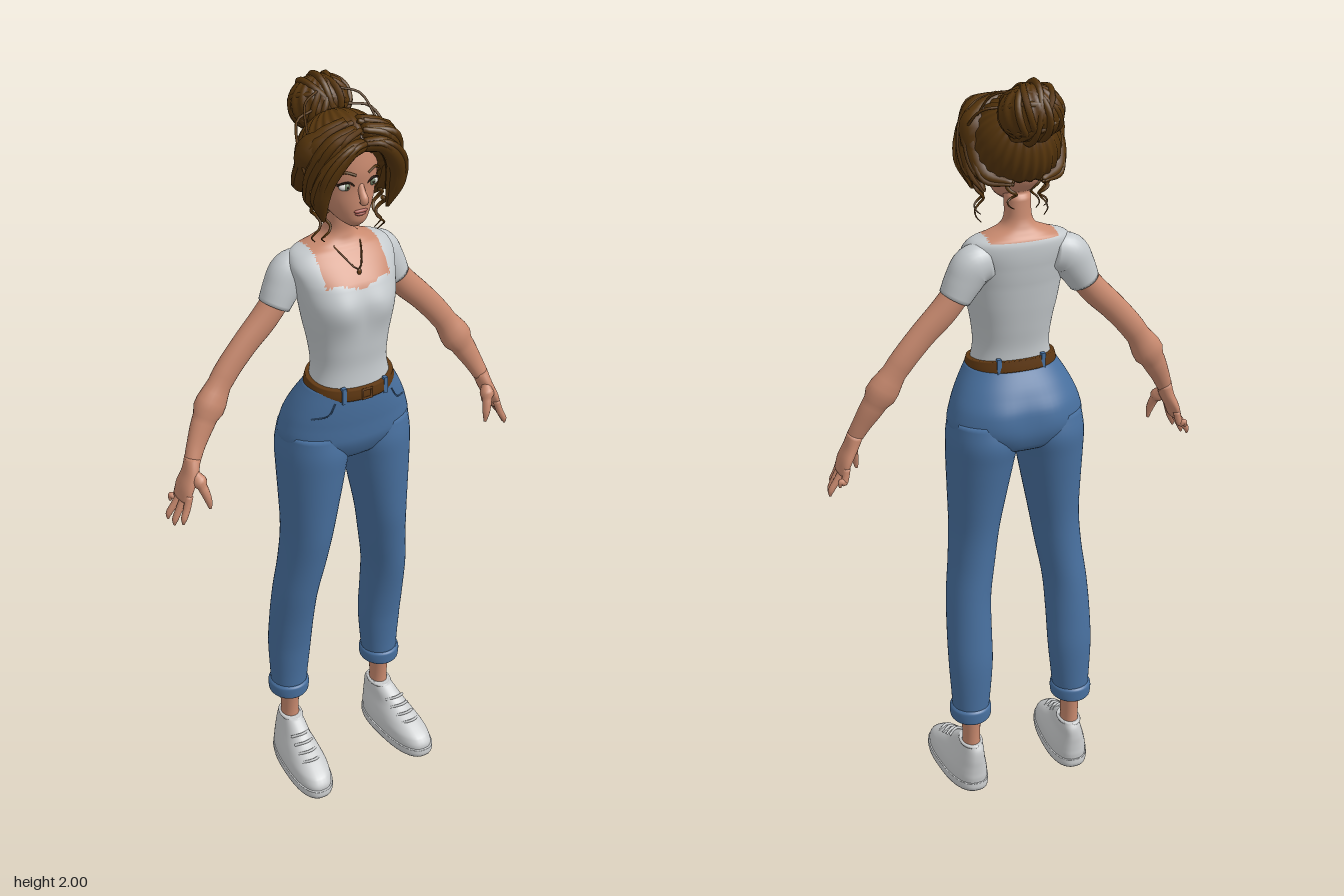
import * as THREE from 'three';

const paint = (name, color) => Object.assign(new THREE.MeshStandardMaterial({ color }), { name });
const V = (x, y, z) => new THREE.Vector3(x, y, z);

export function createModel() {
  const model = new THREE.Group();
  const skin = paint('skin', 0xc98a6f), shirt = paint('shirt', 0xc4c9cc), denim = paint('denim', 0x48709f);
  const hair = paint('hair', 0x55340b), leather = paint('leather', 0x5f3812), shoe = paint('shoe', 0xcbcdce);
  const white = paint('eyeWhite', 0xe4e2de), iris = paint('iris', 0x6f8064), dark = paint('lash', 0x24160e);
  const lip = paint('lip', 0xa85a50);

  function add(name, geo, mat, parent = model) {
    const mesh = new THREE.Mesh(geo, mat);
    mesh.name = name;
    parent.add(mesh);
    return mesh;
  }
  function group(name) {
    const g = new THREE.Group();
    g.name = name;
    model.add(g);
    return g;
  }
  // Skin a list of equal point loops, closed at both ends; pick() sorts faces into material slots
  function skinLoops(loops, pick = () => 0) {
    const n = loops[0].length, pts = loops.flat(), slots = [[], []];
    const face = (...f) => {
      const c = V(0, 0, 0);
      f.forEach(i => c.addScaledVector(pts[i], 1 / 3));
      slots[pick(c)].push(...f);
    };
    const ends = [loops[0], loops[loops.length - 1]].map(l => {
      const c = V(0, 0, 0);
      l.forEach(p => c.addScaledVector(p, 1 / n));
      return pts.push(c) - 1;
    });
    const last = (loops.length - 1) * n;
    for (let j = 0; j < n; j++) {
      const k = (j + 1) % n;
      for (let i = 0; i < last; i += n) {
        face(i + j, i + n + j, i + k);
        face(i + k, i + n + j, i + n + k);
      }
      face(ends[0], j, k);
      face(ends[1], last + k, last + j);
    }
    const geo = new THREE.BufferGeometry().setFromPoints(pts);
    geo.setIndex(slots.flat());
    geo.addGroup(0, slots[0].length, 0);
    geo.addGroup(slots[0].length, slots[1].length, 1);
    geo.computeVertexNormals();
    return geo;
  }
  // Horizontal rounded sections, rising: [y, x0, x1, back z, front z]
  function stack(rows, { power = 2, n = 40, steps = 5, warp, pick, s = 1 } = {}) {
    const a = new THREE.CatmullRomCurve3(rows.map(r => V(r[0], r[1], r[2])));
    const b = new THREE.CatmullRomCurve3(rows.map(r => V(r[3], r[4], 0)));
    const round = c => Math.sign(c) * Math.abs(c) ** (2 / power);
    const loops = [], count = (rows.length - 1) * steps;
    for (let i = 0; i <= count; i++) {
      const p = a.getPoint(i / count), q = b.getPoint(i / count), loop = [];
      for (let j = 0; j < n; j++) {
        const t = j / n * Math.PI * 2;
        const v = V(s * (p.y + p.z) / 2 + (p.z - p.y) / 2 * round(Math.cos(t)), p.x,
          (q.x + q.y) / 2 + (q.y - q.x) / 2 * round(Math.sin(t)));
        if (warp) warp(v);
        loop.push(v);
      }
      loops.push(loop);
    }
    return skinLoops(loops, pick);
  }
  // Tapered limb along a curve: [x, y, z, radius, radius along z]
  function limb(rows, { n = 14, steps = 5, s = 1, round = false } = {}) {
    const path = new THREE.CatmullRomCurve3(rows.map(r => V(r[0] * s, r[1], r[2])));
    const size = new THREE.CatmullRomCurve3(rows.map(r => V(r[3], r[4] ?? r[3], 0)));
    const count = (rows.length - 1) * steps, frames = path.computeFrenetFrames(count), loops = [];
    for (let i = 0; i <= count; i++) {
      const t = path.getTangent(i / count), c = path.getPoint(i / count), r = size.getPoint(i / count);
      let side = V(0, 0, 1);
      if (round) side = frames.normals[i].clone();
      side.addScaledVector(t, -side.dot(t)).normalize();
      const up = t.clone().cross(side);
      loops.push(Array.from({ length: n }, (_, j) => {
        const w = j / n * Math.PI * 2;
        return c.clone().addScaledVector(up, r.x * Math.cos(w)).addScaledVector(side, r.y * Math.sin(w));
      }));
    }
    return skinLoops(loops);
  }
  const wire = (pts, r) => new THREE.TubeGeometry(new THREE.CatmullRomCurve3(pts.map(p => V(...p))), 16, r, 6);
  const both = rows => rows.map(([y, w, b, f]) => [y, -w, w, b, f]);
  function ball(name, mat, pos, size, parent) {
    const m = add(name, new THREE.SphereGeometry(1, 24, 16), mat, parent);
    m.position.set(...pos);
    m.scale.set(...size);
    return m;
  }

  // Torso and neck, with a square neckline
  const bell = (v, x, y, w) => Math.exp(-((Math.abs(v.x) - x) ** 2 + (v.y - y) ** 2) / (w * w));
  add('torso', stack(both([[1.235, .112, -.05, .112], [1.3, .1, -.05, .105], [1.36, .105, -.06, .108],
    [1.42, .117, -.07, .11], [1.48, .127, -.078, .11], [1.53, .135, -.085, .095], [1.57, .142, -.088, .064],
    [1.595, .13, -.085, .04], [1.612, .085, -.075, .025], [1.63, .045, -.065, .017], [1.65, .034, -.058, .014],
    [1.7, .033, -.053, .018], [1.73, .033, -.053, .018]]), {
    power: 2.2, n: 96, steps: 6,
    warp: v => { if (v.z > 0) v.z += .014 * bell(v, .06, 1.465, .05); },
    pick: c => +(c.y > 1.62 || (Math.abs(c.x) < .09 && c.y > (c.z > -.03 ? 1.53 - .006 * Math.cos(c.x * 50) : 1.6))),
  }), [shirt, skin]);
  add('necklace', wire([[-.045, 1.628, -.01], [-.03, 1.6, .038], [0, 1.565, .078], [.03, 1.6, .038], [.045, 1.628, -.01]], .0022), leather);
  ball('pendant', leather, [0, 1.56, .08], [.006, .008, .004]);

  // Jeans: hips, belt, legs and rolled cuffs
  add('hips', stack(both([[1.02, .06, -.05, .05], [1.05, .14, -.1, .09], [1.1, .181, -.112, .112],
    [1.15, .172, -.108, .115], [1.2, .15, -.088, .118], [1.255, .117, -.055, .117]]), {
    power: 2.2, n: 56,
    warp: v => { if (v.z < 0) v.z -= .01 * bell(v, .075, 1.12, .06); },
  }), denim);
  const tilt = v => { v.y -= (v.z - .03) * .12; };
  add('belt', stack(both([[1.237, .121, -.06, .12], [1.25, .12, -.059, .121], [1.268, .115, -.057, .12]]),
    { power: 2.2, n: 56, warp: tilt }), leather);
  const buckle = add('buckle', new THREE.TorusGeometry(.018, .004, 6, 4, Math.PI * 2).rotateZ(Math.PI / 4), leather);
  buckle.position.set(0, 1.242, .122);
  for (const [x, z] of [[-.06, .108], [.06, .108], [-.06, -.045], [.06, -.045]]) {
    const loop = add('beltLoop', new THREE.BoxGeometry(.011, .044, .012), denim);
    loop.position.set(x, 1.253 - (z - .03) * .12, z);
  }
  for (const s of [1, -1]) {
    add('trouserLeg', stack([[.235, .102, .199, -.1, .003], [.3, .095, .202, -.102, .005], [.4, .086, .207, -.104, .014],
      [.5, .084, .206, -.096, .032], [.6, .08, .2, -.087, .054], [.7, .064, .188, -.08, .073], [.8, .048, .181, -.08, .09],
      [.9, .028, .183, -.09, .098], [1, .008, .186, -.104, .105], [1.06, -.002, .186, -.112, .108], [1.12, .01, .178, -.1, .1]], { s }), denim);
    add('cuff', stack([[.228, .1, .202, -.103, .006], [.234, .095, .206, -.107, .01], [.262, .094, .207, -.107, .011],
      [.27, .1, .201, -.101, .006]], { s }), denim);
    add('pocketSeam', wire([[.082 * s, 1.225, .104], [.1 * s, 1.195, .102], [.135 * s, 1.18, .075]], .002), denim);

    // Ankle and sneaker
    add('ankle', stack([[.1, .122, .177, -.08, -.012], [.16, .125, .173, -.077, -.018], [.26, .12, .178, -.082, -.01]], { s }), skin);
    const sneaker = group('sneaker');
    const splay = v => { v.x += s * (v.z + .02) * .07; };
    add('shoeUpper', stack([[.015, .1, .21, -.098, .183], [.035, .1, .21, -.1, .182], [.055, .102, .207, -.1, .168],
      [.075, .108, .2, -.1, .13], [.1, .117, .19, -.1, .072], [.125, .121, .181, -.096, .03], [.142, .126, .175, -.086, .0]],
    { power: 2.5, s, warp: splay }), shoe, sneaker);
    add('sole', stack([[0, .098, .212, -.1, .185], [.012, .096, .214, -.103, .189], [.026, .097, .213, -.102, .188]],
      { power: 2.5, s, warp: splay }), shoe, sneaker);
    add('shoeCollar', new THREE.TorusGeometry(1, .16, 8, 28).rotateX(Math.PI / 2).scale(.028, .03, .04), shoe, sneaker)
      .position.set(s * .149, .138, -.043);
    for (const [y, z] of [[.084, .118], [.095, .092], [.107, .066], [.12, .043]]) {
      const x = s * (.156 + z * .07);
      add('lace', wire([[x - .028, y - .008, z - .014], [x, y + .002, z], [x + .028, y - .008, z - .014]], .004), shoe, sneaker);
    }

    // Sleeve, arm and hand
    add('sleeve', limb([[.085, 1.55, -.042, .046, .036], [.125, 1.54, -.042, .054, .045], [.15, 1.505, -.04, .049, .044],
      [.173, 1.463, -.038, .041, .041]], { s, n: 28 }), shirt);
    add('arm', limb([[.14, 1.51, -.038, .034], [.2, 1.435, -.038, .036, .032], [.26, 1.375, -.037, .034, .028],
      [.32, 1.305, -.035, .033, .027], [.38, 1.212, -.024, .033, .027], [.415, 1.15, -.01, .025, .021],
      [.432, 1.115, 0, .021, .02]], { s, n: 24 }), skin);
    const hand = group('hand');
    add('palm', limb([[.43, 1.122, -.002, .021, .021], [.443, 1.085, .005, .018, .032], [.46, 1.05, .007, .016, .039],
      [.47, 1.02, .008, .013, .038]], { s, n: 20 }), skin, hand);
    [[-.022, -.032, .995, .485], [-.002, -.006, .962, .505], [.018, .02, .956, .5], [.037, .046, .968, .487]].forEach(([z0, z1, y, x]) => {
      add('finger', limb([[.462, 1.04, z0, .01], [.47 + (x - .48) * .5, 1.005, (z0 + z1) / 2, .0095],
        [x - .003, y + .015, z1, .008], [x, y, z1, .003]], { s, n: 10 }), skin, hand);
    });
    add('thumb', limb([[.438, 1.09, .02, .013], [.428, 1.06, .042, .013], [.419, 1.025, .054, .01], [.415, .998, .056, .004]],
      { s, n: 10 }), skin, hand);
  }

  // Head and face
  const head = group('head');
  add('face', stack(both([[1.675, .014, .035, .068], [1.69, .034, .0, .082], [1.71, .05, -.04, .086], [1.74, .066, -.07, .087],
    [1.78, .076, -.085, .087], [1.82, .08, -.09, .091], [1.87, .074, -.085, .086], [1.91, .05, -.05, .06], [1.925, .01, -.01, .02]])), skin, head);
  add('nose', limb([[0, 1.795, .078, .007], [0, 1.77, .09, .009], [0, 1.752, .101, .011], [0, 1.743, .09, .006]], { round: true }), skin, head);
  ball('upperLip', lip, [0, 1.721, .085], [.019, .005, .006], head);
  ball('lowerLip', lip, [0, 1.714, .084], [.015, .005, .007], head);
  for (const s of [1, -1]) {
    ball('eye', white, [s * .036, 1.786, .073], [.017, .011, .01], head);
    ball('iris', iris, [s * .035, 1.786, .079], [.008, .009, .006], head);
    ball('pupil', dark, [s * .035, 1.786, .082], [.004, .005, .004], head);
    add('lashes', wire([[s * .017, 1.787, .083], [s * .033, 1.798, .084], [s * .056, 1.79, .068]], .0028), dark, head);
    add('eyebrow', wire([[s * .016, 1.815, .09], [s * .04, 1.823, .081], [s * .06, 1.812, .064]], .0034), hair, head);
    ball('ear', skin, [s * .08, 1.768, -.015], [.01, .026, .016], head);
  }

  // Hair cap, grooved towards the bun
  const updo = group('hair');
  const shell = (n, m, make) => skinLoops(Array.from({ length: m + 1 }, (_, i) =>
    Array.from({ length: n }, (_, j) => make(1 - i / m, j / n * Math.PI * 2))));
  add('hairCap', shell(160, 28, (t, phi) => {
    const th = Math.max(t, .01) * (1.68 + .45 * Math.cos(phi) ** 2), r = 1 + .022 * Math.sin(phi * 26) * Math.sin(th);
    return V(Math.cos(phi) * Math.sin(th), Math.cos(th), Math.sin(phi) * Math.sin(th))
      .applyAxisAngle(V(1, 0, 0), -.61).multiply(V(.112, .114, .112)).multiplyScalar(r).add(V(0, 1.826, -.002));
  }), hair, updo);
  // Bun wound from strands
  const bun = V(.003, 1.925, -.113);
  add('bun', shell(120, 24, (t, phi) => {
    const th = t * 3.12 + .01, r = 1 + .03 * Math.sin(phi * 15 + th * 5) * Math.sin(th);
    return V(Math.cos(phi) * Math.sin(th) * .08, Math.cos(th) * .068, Math.sin(phi) * Math.sin(th) * .066).multiplyScalar(r).add(bun);
  }), hair, updo);
  for (let i = 0; i < 9; i++) {
    const wrap = add('bunWrap', new THREE.TorusGeometry(.064, .009, 7, 36), hair, updo);
    wrap.position.copy(bun);
    wrap.rotation.set(i * .7, i * 1.1, 0);
    wrap.scale.set(1.1, .94, .94);
  }
  // Parted locks sweeping round the face, each with finer strands on its surface
  const locks = [
    [[.002, 1.888, .094, .016], [.045, 1.885, .108, .02], [.088, 1.838, .096, .025], [.103, 1.775, .075, .024], [.088, 1.705, .062, .004]],
    [[.01, 1.915, .075, .018], [.07, 1.895, .084, .026], [.1, 1.83, .055, .027], [.1, 1.765, .03, .023], [.082, 1.715, -.005, .005]],
    [[.015, 1.925, .045, .018], [.075, 1.895, .035, .026], [.102, 1.825, .0, .026], [.09, 1.765, -.04, .022], [.04, 1.752, -.085, .008]],
  ];
  for (const s of [1, -1]) {
    for (const rows of locks) {
      add('lock', limb(rows, { s, round: true }), hair, updo);
      for (let k = 0; k < 6; k++) {
        const w = k * Math.PI / 3;
        add('strand', limb(rows.map(([x, y, z, r]) => [x + r * .8 * Math.cos(w), y + r * .5 * Math.sin(w), z + r * .85 * Math.sin(w), r * .3 + .001]),
          { s, n: 7, round: true }), hair, updo);
      }
    }
    // Loose curls at the temples and nape
    for (const [x, y, z, len] of [[.075, 1.73, .05, .09], [.085, 1.74, .02, .11], [.04, 1.75, -.085, .06]]) {
      const rows = Array.from({ length: 9 }, (_, i) =>
        [x + .011 * Math.sin(i * 1.2), y - len * i / 8, z + .01 * Math.cos(i * 1.2), .006 - .0006 * i]);
      add('curl', limb(rows, { s, n: 7, round: true }), hair, updo);
    }
    add('flyaway', wire([[s * .05, 1.93, -.06], [s * .1, 1.92, -.04], [s * .123, 1.85, .02], [s * .118, 1.78, .06]], .0035), hair, updo);
    add('flyaway', wire([[s * .03, 1.97, -.07], [s * .075, 1.955, -.045], [s * .095, 1.9, .0]], .003), hair, updo);
  }
  return model;
}
